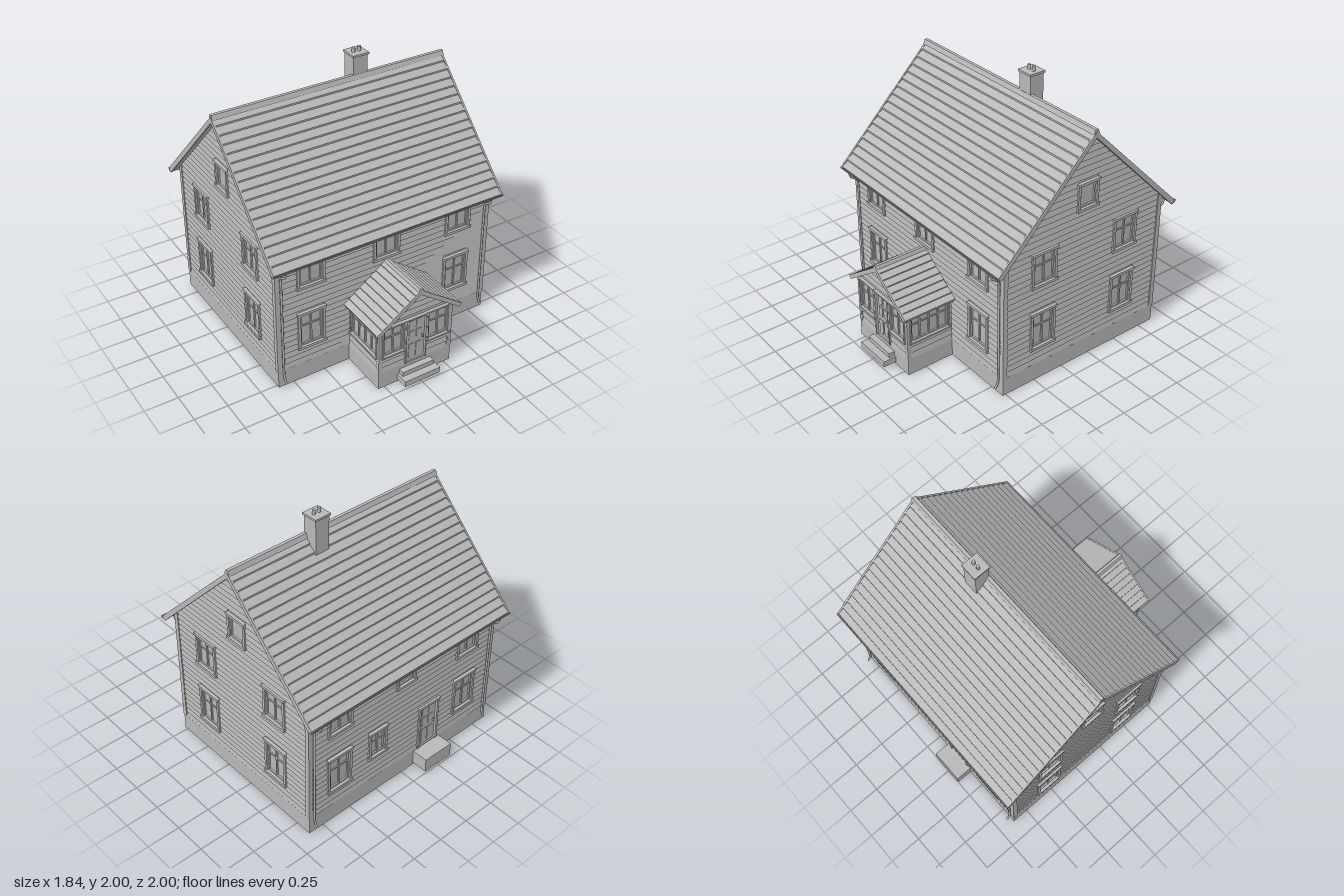
import * as THREE from 'three';
import { mergeGeometries } from 'three/addons/utils/BufferGeometryUtils.js';

const grey = new THREE.MeshStandardMaterial({ color: 0xb8b8b8 });
grey.name = 'plain grey';

const RIDGE_Z = -0.175;

function add(parent, name, geometry) {
  const mesh = new THREE.Mesh(geometry, grey);
  mesh.name = name;
  parent.add(mesh);
  return mesh;
}

// Box given by its lower and upper corners
function box(x0, x1, y0, y1, z0, z1) {
  return new THREE.BoxGeometry(x1 - x0, y1 - y0, z1 - z0)
    .translate((x0 + x1) / 2, (y0 + y1) / 2, (z0 + z1) / 2);
}

function extrude(shape, depth) {
  return new THREE.ExtrudeGeometry(shape, { depth, bevelEnabled: false, curveSegments: 8 });
}

const polygon = (pts) => new THREE.Shape(pts.map(([x, y]) => new THREE.Vector2(x, y)));

// Window in wall space (z outward): casing, header, sill, pane and glazing bars
function windowGeometry({ x, y0, y1, w, cols = 2, rows = 2, c = 0.02 }) {
  const a = x - w / 2, b = x + w / 2;
  const parts = [
    box(a - c, a, y0 - c, y1, -0.012, 0.008),
    box(b, b + c, y0 - c, y1, -0.012, 0.008),
    box(a - c - 0.005, b + c + 0.005, y1, y1 + c, -0.012, 0.014),
    box(a - c - 0.005, b + c + 0.005, y0 - c, y0, -0.012, 0.016),
    box(a, b, y0, y1, -0.026, -0.016),
  ];
  const f = 0.012;
  parts.push(box(a, a + f, y0, y1, -0.018, -0.004), box(b - f, b, y0, y1, -0.018, -0.004));
  parts.push(box(a + f, b - f, y0, y0 + f, -0.018, -0.004), box(a + f, b - f, y1 - f, y1, -0.018, -0.004));
  for (let i = 1; i < cols; i++) {
    const m = a + (w * i) / cols;
    parts.push(box(m - 0.006, m + 0.006, y0 + f, y1 - f, -0.018, -0.006));
  }
  for (let i = 1; i < rows; i++) {
    const m = y0 + (y1 - y0) * (i / rows + 0.12);
    parts.push(box(a + f, b - f, m - 0.005, m + 0.005, -0.018, -0.008));
  }
  return mergeGeometries(parts);
}

// Door with casing, raised panels and a handle
function doorGeometry({ x, y0, y1, w, c = 0.018 }) {
  const a = x - w / 2, b = x + w / 2, h = y1 - y0;
  const parts = [
    box(a - c, a, y0, y1, -0.012, 0.008),
    box(b, b + c, y0, y1, -0.012, 0.008),
    box(a - c - 0.005, b + c + 0.005, y1, y1 + c, -0.012, 0.014),
    box(a, b, y0, y1, -0.026, -0.01),
    box(b - 0.024, b - 0.018, y0 + h * 0.48, y0 + h * 0.54, -0.01, 0.006),
  ];
  for (const side of [-1, 1]) {
    for (const [p, q] of [[0.08, 0.4], [0.5, 0.7], [0.75, 0.94]]) {
      const m = x + side * w * 0.19;
      parts.push(box(m - w * 0.14, m + w * 0.14, y0 + h * p, y0 + h * q, -0.01, -0.005));
    }
  }
  return mergeGeometries(parts);
}

// Wall panel with openings, clad in overlapping boards that follow the gable
function wall({ name, w, y0, top, apex, openings = [], board = 0.045 }) {
  const group = new THREE.Group();
  group.name = name;
  const half = w / 2;
  const slope = apex ? (apex - top) / half : 0;
  const halfAt = (y) => (apex ? Math.max(0, Math.min(half, (apex - y) / slope)) : half);
  const outline = [[-half, y0], [half, y0], [half, top]];
  if (apex) outline.push([0, apex]);
  outline.push([-half, top]);
  const shape = polygon(outline);
  for (const o of openings) {
    const a = o.x - o.w / 2, b = o.x + o.w / 2;
    const bottom = Math.max(o.y0, y0 + 0.003);
    shape.holes.push(polygon([[a, bottom], [a, o.y1], [b, o.y1], [b, bottom]]));
  }
  add(group, 'wallPanel', extrude(shape, 0.02).translate(0, 0, -0.03));

  const boards = [];
  const end = apex || top;
  const rows = Math.round((end - y0) / board);
  const h = (end - y0) / rows, lip = 0.01;
  for (let i = 0; i < rows; i++) {
    const low = y0 + i * h, mid = low + h / 2;
    let x = -halfAt(low);
    const cuts = openings.filter((o) => mid > o.y0 - 0.02 && mid < o.y1 + 0.02).sort((p, q) => p.x - q.x);
    const spans = [];
    for (const o of cuts) {
      const c = o.c ?? 0.018;
      spans.push([x, o.x - o.w / 2 - c]);
      x = o.x + o.w / 2 + c;
    }
    spans.push([x, halfAt(low)]);
    for (const [a, b] of spans) {
      if (b - a < 0.004) continue;
      const g = box(a, b, low, low + h, -lip, 0);
      const p = g.attributes.position;
      for (let k = 0; k < p.count; k++) {
        const y = p.getY(k), lim = halfAt(y);
        p.setX(k, THREE.MathUtils.clamp(p.getX(k), -lim, lim));
        if (y > mid && p.getZ(k) > -lip / 2) p.setZ(k, -lip + 0.002);
      }
      g.computeVertexNormals();
      boards.push(g);
    }
  }
  add(group, 'sidingBoards', mergeGeometries(boards));
  for (const o of openings) {
    add(group, o.door ? 'door' : 'window', o.door ? doorGeometry(o) : windowGeometry(o));
  }
  return group;
}

// Gable roof with stepped courses, extruded along z
function roofGeometry(run, apex, rise, rows, thick, lip, length) {
  const side = [];
  for (let i = 0; i < rows; i++) {
    const t0 = i / rows, t1 = (i + 1) / rows;
    side.push([run * t0, apex - rise * t0 - lip], [run * t1, apex - rise * t1]);
  }
  side.push([run - thick * 0.5, apex - rise - thick]);
  const mirrored = side.slice(1).reverse().map(([x, y]) => [-x, y]);
  return extrude(polygon([...side, ...mirrored, [0, apex - lip]].slice(0, -1).concat([])
    .toSpliced(side.length, 0, [0, apex - thick * 1.3])), length).translate(0, 0, -length / 2);
}

// Sloping trim boards along a gable end
function bargeGeometry(run, apex, rise, t, depth) {
  return extrude(polygon([[0, apex], [run, apex - rise], [run - t * 0.6, apex - rise - t * 0.6],
    [0, apex - t], [-run + t * 0.6, apex - rise - t * 0.6], [-run, apex - rise]]), depth);
}

export function createModel() {
  const house = new THREE.Group();
  house.name = 'house';

  // Plinth, open underneath
  const ring = polygon([[-0.87, -0.525], [0.87, -0.525], [0.87, 0.875], [-0.87, 0.875]]);
  ring.holes.push(polygon([[-0.84, -0.495], [-0.84, 0.845], [0.84, 0.845], [0.84, -0.495]]));
  add(house, 'plinth', extrude(ring, 0.137).rotateX(-Math.PI / 2));

  // Main walls
  const lower = (x) => ({ x, y0: 0.285, y1: 0.55, w: 0.175 });
  const upper = (x) => ({ x, y0: 0.79, y1: 1.02, w: 0.175 });
  const front = wall({ name: 'frontWall', w: 1.74, y0: 0.135, top: 1.09,
    openings: [lower(-0.6), lower(0.6), upper(-0.6), upper(0), upper(0.6)] });
  front.position.z = 0.525;
  const back = wall({ name: 'backWall', w: 1.74, y0: 0.135, top: 1.09,
    openings: [lower(-0.6), lower(0.6), upper(-0.6), upper(0.6),
      { x: -0.25, y0: 0.35, y1: 0.55, w: 0.13 }, { x: 0, y0: 0.84, y1: 1.02, w: 0.14, cols: 1, rows: 1 },
      { x: 0.245, y0: 0.135, y1: 0.5, w: 0.16, door: true }] });
  back.position.z = -0.875;
  back.rotation.y = Math.PI;
  house.add(front, back);
  for (const s of [-1, 1]) {
    const gable = wall({ name: s > 0 ? 'leftGableWall' : 'rightGableWall', w: 1.4, y0: 0.135, top: 1.07, apex: 1.77,
      openings: [lower(-0.36), lower(0.36), upper(-0.36), upper(0.36),
        { x: 0, y0: 1.24, y1: 1.41, w: 0.14, cols: 1, rows: 1 }] });
    gable.position.set(s * 0.87, 0, RIDGE_Z);
    gable.rotation.y = (s * Math.PI) / 2;
    house.add(gable);
    for (const z of [0.51, -0.86]) {
      add(house, 'cornerBoard', box(-0.018, 0.018, 0.137, 1.075, -0.018, 0.018).translate(s * 0.856, 0, z));
    }
  }

  // Main roof, ridge cap and gable trim
  const roof = roofGeometry(0.785, 1.805, 0.785, 17, 0.03, 0.012, 1.84);
  add(house, 'roof', roof.rotateY(Math.PI / 2).translate(0, 0, RIDGE_Z));
  const cap = polygon([[-0.025, 1.785], [0.025, 1.785], [0.012, 1.82], [-0.012, 1.82]]);
  add(house, 'ridgeCap', extrude(cap, 1.84).rotateY(Math.PI / 2).translate(-0.92, 0, RIDGE_Z));
  for (const x of [-0.922, 0.908]) {
    add(house, 'bargeBoard', bargeGeometry(0.783, 1.805, 0.783, 0.045, 0.014)
      .rotateY(Math.PI / 2).translate(x, 0, RIDGE_Z));
  }

  // Gutters and downpipes on both eaves
  const trough = new THREE.Shape();
  trough.absarc(0, 0, 0.022, Math.PI, 2 * Math.PI, false);
  trough.absarc(0, 0, 0.017, 2 * Math.PI, Math.PI, true);
  for (const s of [-1, 1]) {
    const z = (d) => RIDGE_Z + s * d;
    add(house, 'gutter', extrude(trough, 1.84).rotateY(Math.PI / 2).translate(-0.92, 1.018, z(0.775)));
    for (const x of [-0.83, 0.83]) {
      const points = [[1.0, 0.775], [0.965, 0.772], [0.925, 0.712], [0.9, 0.708], [0.12, 0.708], [0.09, 0.712], [0.055, 0.733]];
      const path = new THREE.CurvePath();
      const v = points.map(([y, d]) => new THREE.Vector3(x, y, z(d)));
      for (let i = 1; i < v.length; i++) path.add(new THREE.LineCurve3(v[i - 1], v[i]));
      add(house, 'downpipe', new THREE.TubeGeometry(path, 48, 0.008, 8));
    }
  }

  // Chimney with cap and two pots
  add(house, 'chimneyStack', box(0.165, 0.28, 1.62, 1.955, -0.278, -0.165));
  add(house, 'chimneyCap', box(0.157, 0.288, 1.952, 1.967, -0.286, -0.157));
  for (const x of [0.2, 0.245]) {
    add(house, 'chimneyPot', new THREE.CylinderGeometry(0.012, 0.013, 0.04, 12).translate(x, 1.98, -0.22));
  }

  // Back door step
  add(house, 'backStep', box(-0.37, -0.115, 0.02, 0.13, -1, -0.87));

  // Porch
  const porch = new THREE.Group();
  porch.name = 'porch';
  house.add(porch);
  add(porch, 'porchPlinth', mergeGeometries([
    box(-0.3, 0.3, 0, 0.13, 0.87, 0.9),
    box(-0.3, -0.27, 0, 0.13, 0.525, 0.87),
    box(0.27, 0.3, 0, 0.13, 0.525, 0.87),
  ]));
  const porchFront = wall({ name: 'porchFrontWall', w: 0.6, y0: 0.13, top: 0.51, apex: 0.722,
    openings: [{ x: 0, y0: 0.13, y1: 0.5, w: 0.155, c: 0.01, door: true },
      { x: -0.183, y0: 0.27, y1: 0.5, w: 0.165, c: 0.012 }, { x: 0.183, y0: 0.27, y1: 0.5, w: 0.165, c: 0.012 }] });
  porchFront.position.z = 0.9;
  porch.add(porchFront);
  for (const s of [-1, 1]) {
    const side = wall({ name: 'porchSideWall', w: 0.375, y0: 0.13, top: 0.51,
      openings: [{ x: 0, y0: 0.27, y1: 0.485, w: 0.31, cols: 4, c: 0.012 }] });
    side.position.set(s * 0.3, 0, 0.7125);
    side.rotation.y = (s * Math.PI) / 2;
    porch.add(side);
    add(porch, 'porchPost', box(-0.012, 0.012, 0.13, 0.505, 0.878, 0.902).translate(s * 0.29, 0, 0));
  }
  add(porch, 'porchRoof', roofGeometry(0.345, 0.757, 0.25, 8, 0.025, 0.008, 0.415).translate(0, 0, 0.7325));
  add(porch, 'porchBargeBoard', bargeGeometry(0.35, 0.755, 0.25, 0.038, 0.012).translate(0, 0, 0.93));
  const porchCap = polygon([[-0.02, 0.742], [0.02, 0.742], [0.01, 0.768], [-0.01, 0.768]]);
  add(porch, 'porchRidgeCap', extrude(porchCap, 0.418).translate(0, 0, 0.525));
  add(porch, 'upperStep', box(-0.128, 0.128, 0.02, 0.1, 0.895, 0.945));
  add(porch, 'lowerStep', box(-0.145, 0.145, 0.02, 0.065, 0.895, 1));

  return house;
}
